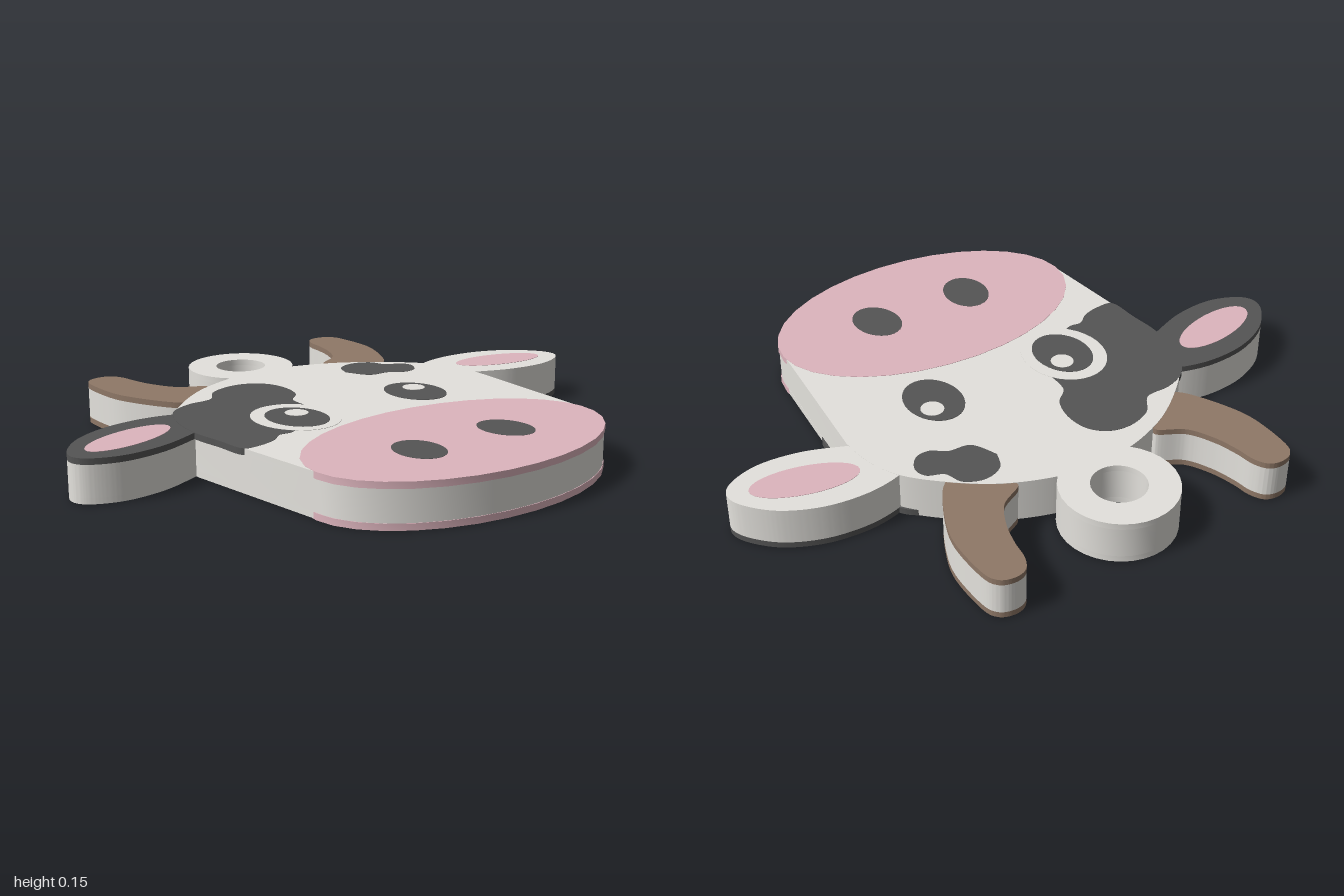
import * as THREE from 'three';
import { toCreasedNormals } from 'three/addons/utils/BufferGeometryUtils.js';

const H = 0.145;     // total thickness
const CAP = 0.022;   // thickness of the coloured face layers
const STEP = 0.0006; // tiny rise between overlapping face layers

const mat = (color) => new THREE.MeshStandardMaterial({ color, roughness: 0.8 });

// Outlines are given as [x, z] and drawn in a shape whose y is -z.
const vec = (pts) => pts.map(([x, z]) => new THREE.Vector2(x, -z));
const mirror = (pts) => pts.map(([x, z]) => [-x, z]);

// Smooth open curve through the points, closed by a straight edge.
function blob(pts) {
  const [first, ...rest] = vec(pts);
  const s = new THREE.Shape();
  s.moveTo(first.x, first.y);
  s.splineThru(rest);
  s.closePath();
  return s;
}

// Smooth closed curve through the points.
const loop = (pts) => blob([...pts, pts[0]]);

function oval(x, z, rx, rz, tilt = 0) {
  const s = new THREE.Shape();
  s.absellipse(x, -z, rx, rz, 0, Math.PI * 2, false, tilt);
  return s;
}

// Head: domed crown, tapering cheeks, oval chin.
function headShape() {
  const crown = [[0.145, -0.515], [0.3, -0.453], [0.435, -0.355], [0.53, -0.255], [0.575, -0.15], [0.588, -0.04]];
  const s = new THREE.Shape();
  s.moveTo(0, 0.535);
  s.splineThru(vec(crown));
  s.lineTo(0.541, -0.47);
  s.absellipse(0, -0.49, 0.54, 0.333, 0, -Math.PI, true);
  s.lineTo(-0.588, 0.04);
  s.splineThru(vec([...mirror(crown).reverse().slice(1), [0, -0.535]]));
  return s;
}

// Hanging ring with its hole.
function ringShape() {
  const s = oval(0, -0.645, 0.185, 0.185);
  s.holes.push(oval(0, -0.645, 0.087, 0.087));
  return s;
}

const HORN = [[0.27, -0.45], [0.255, -0.49], [0.335, -0.54], [0.38, -0.62], [0.402, -0.7], [0.412, -0.765],
  [0.437, -0.808], [0.48, -0.82], [0.525, -0.803], [0.546, -0.75], [0.546, -0.61], [0.515, -0.505],
  [0.455, -0.39], [0.4, -0.34]];
const EAR = [[0.48, -0.22], [0.53, -0.26], [0.645, -0.283], [0.78, -0.27], [0.9, -0.217], [0.98, -0.136],
  [1, -0.07], [0.96, -0.02], [0.86, 0.012], [0.725, 0], [0.59, -0.05], [0.48, -0.1]];
const PATCH = [[-0.14, -0.06], [-0.135, -0.155], [-0.083, -0.21], [-0.062, -0.29], [-0.077, -0.37],
  [-0.13, -0.42], [-0.205, -0.43], [-0.285, -0.4], [-0.34, -0.335], [-0.425, -0.328], [-0.495, -0.3],
  [-0.54, -0.25], [-0.578, -0.15], [-0.592, -0.04], [-0.582, 0.07], [-0.572, 0.175], [-0.515, 0.185],
  [-0.45, 0.168], [-0.405, 0.135], [-0.35, 0.132], [-0.25, 0.06]];
const SPOT = [[0.228, -0.33], [0.255, -0.39], [0.32, -0.414], [0.385, -0.388], [0.41, -0.33], [0.462, -0.305],
  [0.475, -0.26], [0.443, -0.212], [0.393, -0.206], [0.345, -0.238], [0.27, -0.25]];

function slab(name, shape, y0, y1, material) {
  const geo = new THREE.ExtrudeGeometry(shape, { depth: y1 - y0, bevelEnabled: false, curveSegments: 16 });
  geo.rotateX(-Math.PI / 2);
  geo.translate(0, y0, 0);
  const mesh = new THREE.Mesh(toCreasedNormals(geo, 0.5), material);
  mesh.name = name;
  return mesh;
}

export function createModel() {
  const white = mat(0xe4e2dd), dark = mat(0x555555), pink = mat(0xdeb5be), brown = mat(0x8f7867);
  const model = new THREE.Group();
  model.name = 'cowHeadTag';

  // White core between the two coloured faces
  const core = new THREE.Group();
  core.name = 'core';
  const outlines = {
    head: headShape(), ring: ringShape(),
    leftHorn: blob(HORN), rightHorn: blob(mirror(HORN)),
    leftEar: blob(EAR), rightEar: blob(mirror(EAR)),
  };
  for (const [name, shape] of Object.entries(outlines)) {
    core.add(slab(name + 'Core', shape, CAP, H - CAP, white));
  }
  model.add(core);

  // Decorated face: each layer sits a hair above the one it overlaps
  const face = new THREE.Group();
  face.name = 'topFace';
  const layer = (name, shape, level, material) =>
    face.add(slab(name, shape, H - CAP, H - 0.003 + level * STEP, material));

  layer('leftHorn', outlines.leftHorn, 0, brown);
  layer('rightHorn', outlines.rightHorn, 0, brown);
  layer('leftEar', outlines.leftEar, 1, white);
  layer('rightEar', outlines.rightEar, 1, dark);
  layer('ring', outlines.ring, 2, white);
  layer('head', outlines.head, 2, white);
  layer('eyePatch', loop(PATCH), 3, dark);
  layer('browSpot', loop(SPOT), 3, dark);
  layer('eyeSurround', oval(-0.25, 0.01, 0.137, 0.158), 4, white);
  layer('muzzle', oval(0, 0.49, 0.543, 0.336), 4, pink);

  for (const [side, s] of [['left', 1], ['right', -1]]) {
    layer(side + 'InnerEar', oval(s * 0.775, -0.13, 0.168, 0.068, -s * 0.24), 3, pink);
    layer(side + 'Eye', oval(s * 0.248, 0.015, 0.094, 0.118), 5, dark);
    layer(side + 'EyeGlint', oval(s * 0.248 + 0.028, -0.025, 0.038, 0.038), 6, white);
    layer(side + 'Nostril', oval(s * 0.178, 0.515, 0.077, 0.098, s * 0.15), 5, dark);
  }
  model.add(face);

  // The underside is the same face turned over
  const under = face.clone();
  under.name = 'bottomFace';
  under.rotation.z = Math.PI;
  under.position.y = H;
  model.add(under);

  return model;
}
